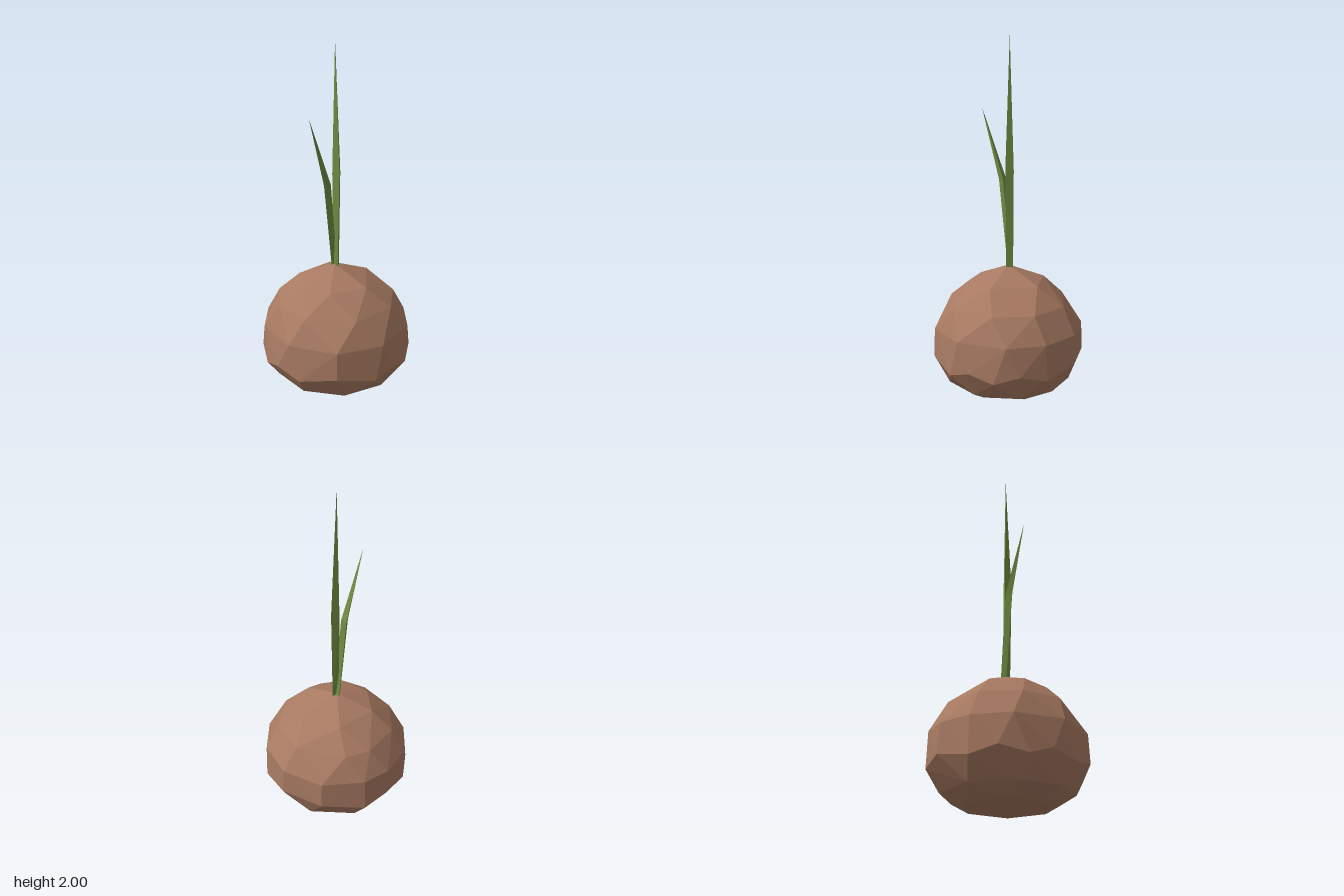
import * as THREE from 'three';
import { ConvexGeometry } from 'three/addons/geometries/ConvexGeometry.js';

const bulbBrown = new THREE.MeshStandardMaterial({ name: 'bulbBrown', color: 0xa87a62 });
const leafGreen = new THREE.MeshStandardMaterial({ name: 'leafGreen', color: 0x6f8c42 });

// Faceted solid stretched over a list of points
function hull(points, material, name) {
  const mesh = new THREE.Mesh(new ConvexGeometry(points), material);
  mesh.name = name;
  return mesh;
}

// Ring of points at the given angles (degrees, from +x towards +z);
// zigzag moves every other point up or down
function ring(y, radius, angles, zigzag = 0) {
  return angles.map((degrees, i) => {
    const a = THREE.MathUtils.degToRad(degrees);
    const height = y + (i % 2 ? -zigzag : zigzag);
    return new THREE.Vector3(radius * Math.cos(a), height, radius * Math.sin(a));
  });
}

// Three-sided cross-section of a leaf, with one edge pointing along +z or -z
function section(x, y, z, halfWidth, depth) {
  return [
    new THREE.Vector3(x - halfWidth, y, z),
    new THREE.Vector3(x + halfWidth, y, z),
    new THREE.Vector3(x, y, z + depth),
  ];
}

// Leaf from a base section through a middle section to a pointed tip
function leaf(base, middle, tip, name) {
  const group = new THREE.Group();
  group.name = name;
  group.add(hull([...base, ...middle], leafGreen, 'lowerBlade'));
  group.add(hull([...middle, tip], leafGreen, 'upperBlade'));
  return group;
}

export function createModel() {
  const model = new THREE.Group();
  model.name = 'sproutingBulb';

  // Bulb: uneven rings from the crown down to the flat base
  const bulb = [
    new THREE.Vector3(-0.01, 0.725, 0),
    // shoulder
    ...ring(0.64, 0.22, [1, 60, 108, 157, 223, 286]),
    // upper side
    ...ring(0.525, 0.345, [-12, 33, 81, 119, 157, 195, 220, 270, 309]),
    // steep band, with a zigzag lower edge
    ...ring(0.38, 0.424, [-86, -55, -25, 14, 51, 90, 128, 158, 184, 206, 240]),
    ...ring(0.2, 0.431, [-85, -56, -35, -16, 3, 21, 51, 80, 101, 118, 138, 158, 186, 206, 240], 0.02),
    // lower side and base
    ...ring(0.07, 0.353, [5, 44, 83, 122, 165, 211, 254, 290, 325]),
    ...ring(0.01, 0.245, [7, 74, 133, 195, 255, 312]),
    new THREE.Vector3(0, 0, 0),
  ];
  model.add(hull(bulb, bulbBrown, 'bulb'));

  // Tall upright leaf
  model.add(leaf(
    section(-0.003, 0.69, 0.004, 0.018, -0.034),
    section(0.002, 1.27, 0.004, 0.025, -0.04),
    new THREE.Vector3(-0.01, 2, -0.005),
    'tallLeaf',
  ));

  // Short leaf bending to the front
  model.add(leaf(
    section(-0.02, 0.69, -0.015, 0.016, 0.026),
    section(-0.027, 1.21, 0.035, 0.019, 0.036),
    new THREE.Vector3(-0.036, 1.61, 0.182),
    'shortLeaf',
  ));

  return model;
}
